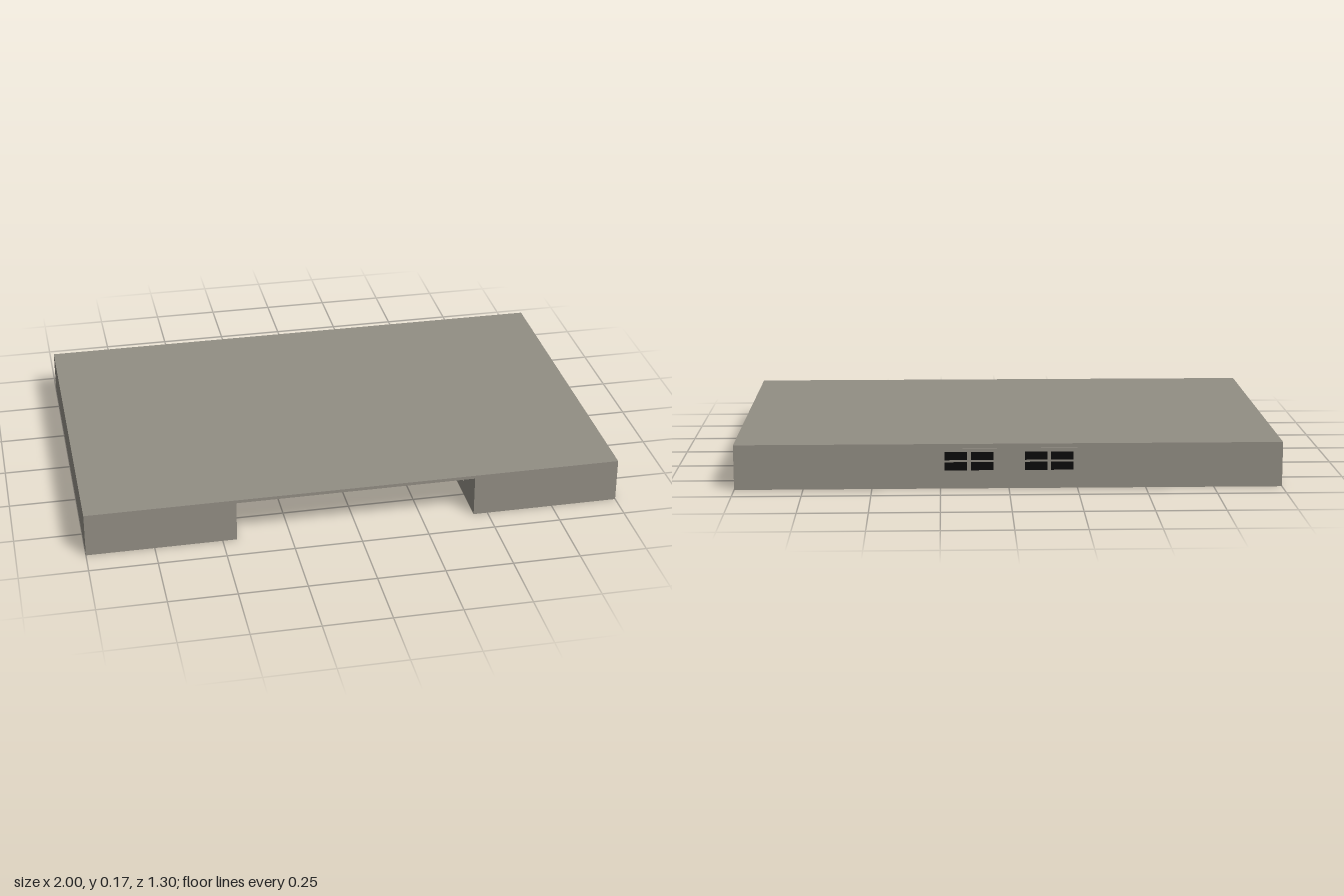
import * as THREE from 'three';

export function createModel() {
  const group = new THREE.Group();
  const grey = new THREE.MeshStandardMaterial({ name: 'warmGrey', color: 0x928e84 });
  const black = new THREE.MeshStandardMaterial({ name: 'black', color: 0x0b0b0b });

  const H = 0.166, D = 0.647, ROOF = 0.012;   // height, half depth, top plate thickness
  const NX = 0.447, NZ = -0.11;               // bay half width and rear wall

  const box = (parent, name, w, h, d, x, y, z, mat) => {
    const mesh = new THREE.Mesh(new THREE.BoxGeometry(w, h, d), mat);
    mesh.name = name;
    mesh.position.set(x, y, z);
    parent.add(mesh);
  };

  // U-shaped body, open at the front (shape y becomes -z)
  const outline = [[-1, -D], [-NX, -D], [-NX, -NZ], [NX, -NZ], [NX, -D], [1, -D], [1, D], [-1, D]];
  const shape = new THREE.Shape(outline.map(([x, y]) => new THREE.Vector2(x, y)));
  const bodyGeo = new THREE.ExtrudeGeometry(shape, { depth: H - ROOF, bevelEnabled: false });
  bodyGeo.rotateX(-Math.PI / 2);
  const body = new THREE.Mesh(bodyGeo, grey);
  body.name = 'body';
  group.add(body);

  // Flat top spanning the bay
  box(group, 'topPlate', 2, ROOF, 2 * D, 0, H - ROOF / 2, 0, grey);

  // Panel of dark openings in two rows, facing local +z
  const panel = (name, width, cols, x, z, turn) => {
    const g = new THREE.Group();
    g.name = name;
    g.position.set(x, 0, z);
    g.rotation.y = turn;
    box(g, 'frame', width, 0.092, 0.004, 0, 0.104, 0.002, grey);
    const pitch = (width - 0.014) / cols;
    for (let i = 0; i < cols; i++) {
      const cx = (i - (cols - 1) / 2) * pitch;
      for (const cy of [0.122, 0.084])
        box(g, 'opening', pitch - 0.014, 0.03, 0.004, cx, cy, 0.004, black);
    }
    group.add(g);
  };

  for (const s of [-1, 1]) {
    // Rear outside wall
    panel('rearPanel', 0.205, 2, s * 0.146, -D, Math.PI);
    // Bay side walls
    for (const z of [0.392, 0.082])
      panel('baySidePanel', 0.212, 2, s * NX, z, -s * Math.PI / 2);
    // Bay rear wall, with a blank plate below and small slots beside it
    panel('bayRearPanel', 0.304, 4, s * 0.294, NZ, 0);
    box(group, 'blankPlate', 0.304, 0.055, 0.005, s * 0.294, 0.0275, NZ + 0.0025, grey);
    for (const y of [0.095, 0.108, 0.122])
      box(group, 'slot', 0.045, 0.006, 0.004, s * 0.072, y, NZ + 0.002, black);
  }
  return group;
}
